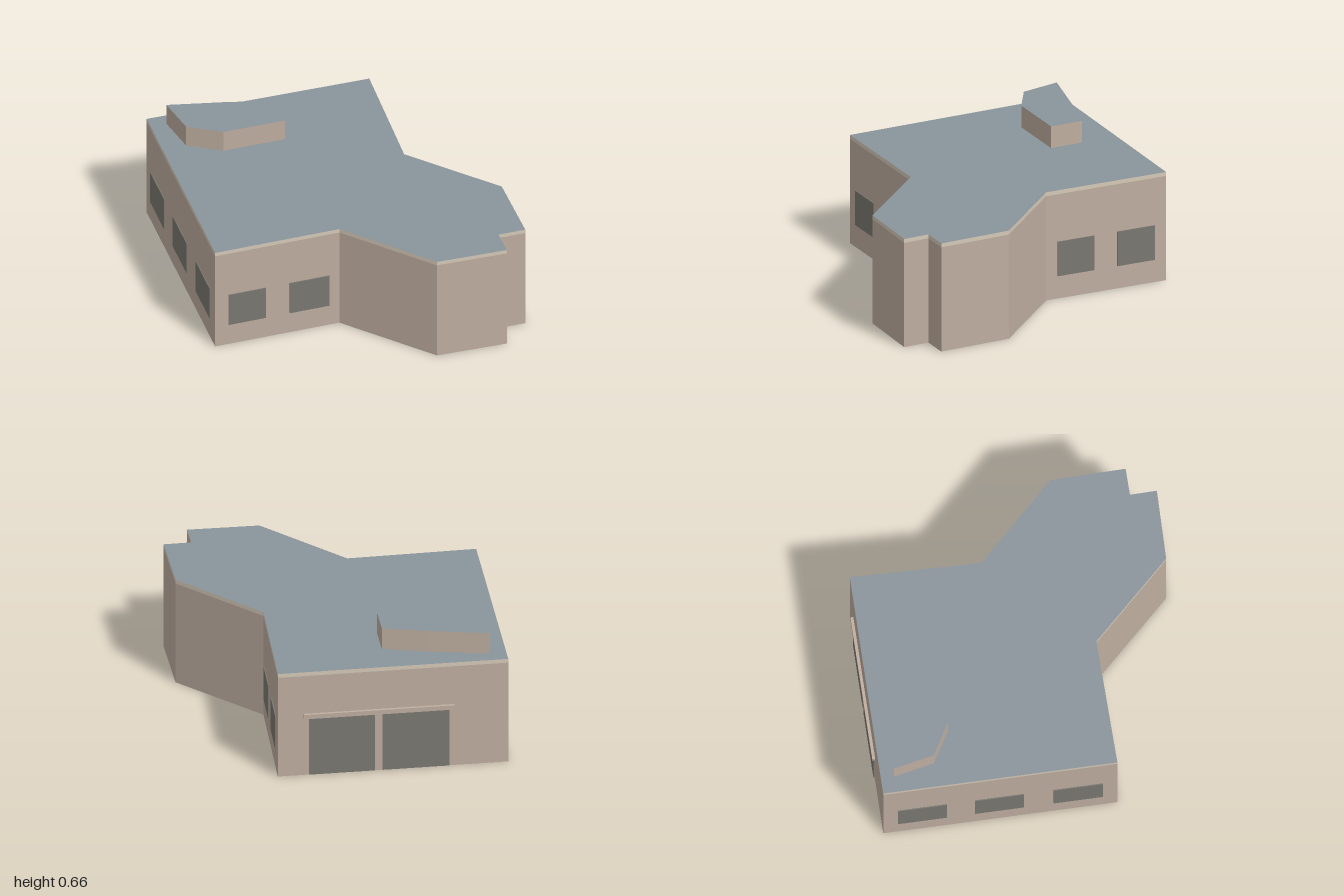
import * as THREE from 'three';

const mat = (name, color) => new THREE.MeshStandardMaterial({ name, color, side: THREE.DoubleSide });

// Footprints as [x, z], clockwise seen from above
const OUTLINE = [
  [-1, -0.01], [-0.22, -0.79], [0.21, -0.333], [0.74, -0.322], [1, -0.07],
  [0.907, 0.025], [1, 0.115], [0.752, 0.355], [0.22, 0.34], [-0.21, 0.785],
];
const PENTHOUSE = [[-0.9, -0.02], [-0.65, -0.18], [-0.46, -0.29], [-0.345, -0.175], [-0.56, 0.045], [-0.735, 0.09]];
const BAND_Y = 0.53, ROOF_Y = 0.55, PENTHOUSE_Y = 0.66;

// Open ring of upright faces along a footprint
function ring(points, y0, y1) {
  const pos = [];
  points.forEach(([ax, az], i) => {
    const [bx, bz] = points[(i + 1) % points.length];
    pos.push(bx, y0, bz, ax, y0, az, ax, y1, az);
    pos.push(bx, y0, bz, ax, y1, az, bx, y1, bz);
  });
  const g = new THREE.BufferGeometry();
  g.setAttribute('position', new THREE.Float32BufferAttribute(pos, 3));
  g.computeVertexNormals();
  return g;
}

// Flat lid over a footprint
function lid(points, y) {
  const shape = new THREE.Shape(points.map(([x, z]) => new THREE.Vector2(x, -z)));
  return new THREE.ShapeGeometry(shape).rotateX(-Math.PI / 2).translate(0, y, 0);
}

export function createModel() {
  const group = new THREE.Group();
  group.name = 'building';
  const wall = mat('beige wall', 0xbfaea0);
  const trim = mat('light trim', 0xd6cab8);
  const roof = mat('grey roof', 0x8a949c);
  const glass = mat('dark glass', 0x7a7871);

  const add = (name, geometry, material) => {
    const mesh = new THREE.Mesh(geometry, material);
    mesh.name = name;
    group.add(mesh);
    return mesh;
  };

  // Plate on a wall, from fraction t0 to t1 of its length
  const plate = (name, edge, t0, t1, y0, y1, depth, material) => {
    const [ax, az] = OUTLINE[edge], [bx, bz] = OUTLINE[(edge + 1) % OUTLINE.length];
    const dx = bx - ax, dz = bz - az, len = Math.hypot(dx, dz);
    const nx = dz / len, nz = -dx / len, t = (t0 + t1) / 2, off = depth / 2 + 0.001;
    const mesh = add(name, new THREE.BoxGeometry((t1 - t0) * len, y1 - y0, depth), material);
    mesh.position.set(ax + dx * t + nx * off, (y0 + y1) / 2, az + dz * t + nz * off);
    mesh.rotation.y = Math.atan2(nx, nz);
  };

  // Shell, open underneath
  add('walls', ring(OUTLINE, 0, BAND_Y), wall);
  add('roofBand', ring(OUTLINE, BAND_Y, ROOF_Y), trim);
  add('roof', lid(OUTLINE, ROOF_Y), roof);

  // Rooftop block
  add('penthouseWalls', ring(PENTHOUSE, ROOF_Y, PENTHOUSE_Y), wall);
  add('penthouseRoof', lid(PENTHOUSE, PENTHOUSE_Y), roof);

  // Windows: [wall, start, end]
  const windows = [
    [9, 0.063, 0.272], [9, 0.399, 0.608], [9, 0.728, 0.937],
    [8, 0.081, 0.4], [8, 0.595, 0.895],
    [1, 0.098, 0.41], [1, 0.6, 0.905],
  ];
  for (const [edge, t0, t1] of windows) plate('window', edge, t0, t1, 0.115, 0.29, 0.005, glass);

  // Garage doors under a ledge
  plate('door', 0, 0.255, 0.547, 0.002, 0.31, 0.005, glass);
  plate('door', 0, 0.58, 0.865, 0.002, 0.31, 0.005, glass);
  plate('doorLedge', 0, 0.235, 0.89, 0.305, 0.328, 0.014, wall);

  return group;
}
